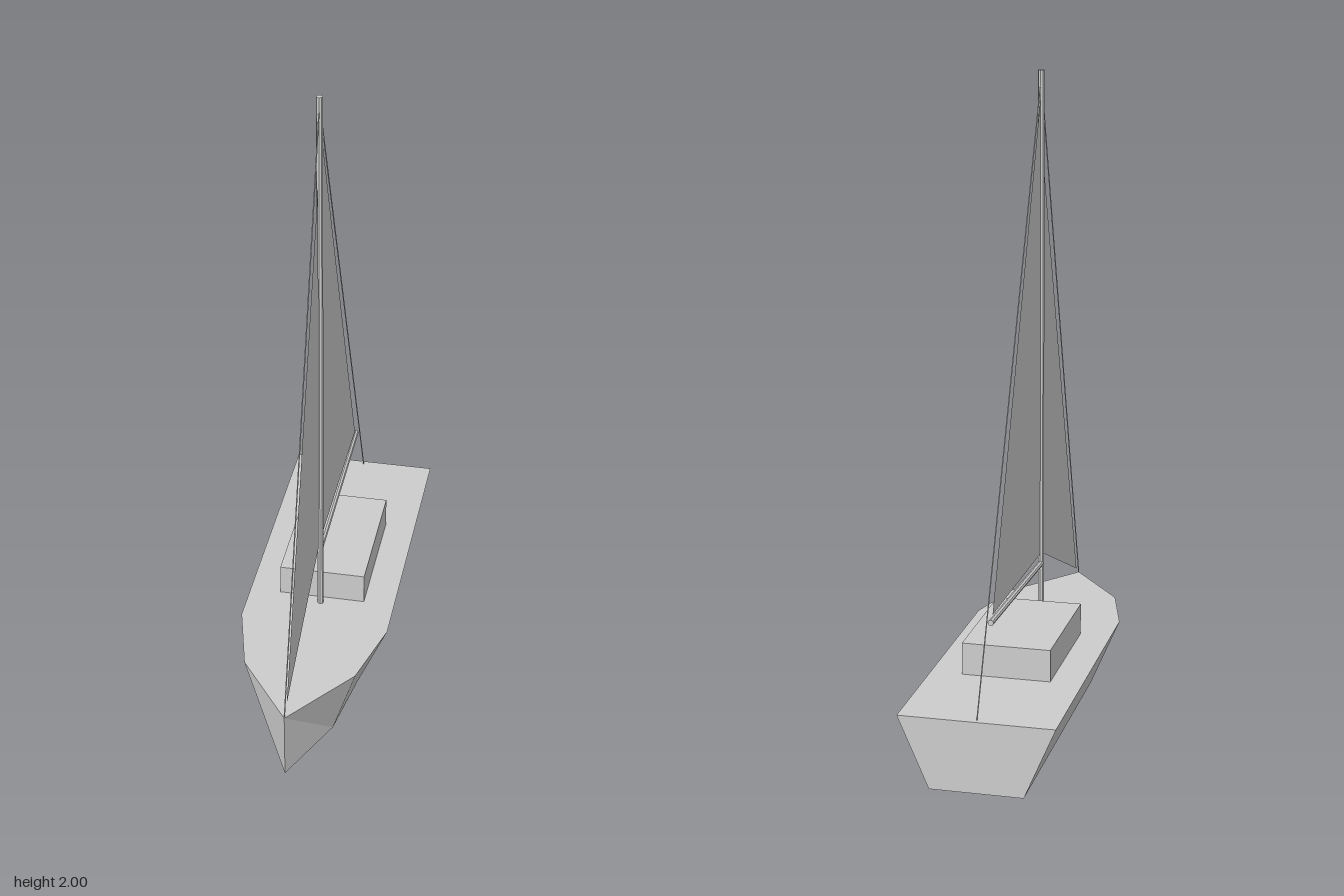
import * as THREE from 'three';

export function createModel() {
  const boat = new THREE.Group();
  boat.name = 'sailboat';
  const grey = new THREE.MeshStandardMaterial({ color: 0xcccccc, side: THREE.DoubleSide, flatShading: true });
  grey.name = 'light grey';

  const add = (name, geometry) => {
    const mesh = new THREE.Mesh(geometry, grey);
    mesh.name = name;
    boat.add(mesh);
    return mesh;
  };

  // Straight round bar between two points on the centre plane, given as [y, z]
  const bar = (name, a, b, radius, sides) => {
    const from = new THREE.Vector3(0, ...a), to = new THREE.Vector3(0, ...b);
    const dir = to.clone().sub(from);
    const mesh = add(name, new THREE.CylinderGeometry(radius, radius, dir.length(), sides));
    mesh.position.copy(from).add(to).multiplyScalar(0.5);
    mesh.quaternion.setFromUnitVectors(new THREE.Vector3(0, 1, 0), dir.normalize());
  };

  // Flat sail on the centre plane, corners given as [y, z]
  const sail = (name, corners) => {
    const geometry = new THREE.BufferGeometry();
    geometry.setAttribute('position', new THREE.Float32BufferAttribute(corners.flatMap(([y, z]) => [0, y, z]), 3));
    geometry.computeVertexNormals();
    add(name, geometry);
  };

  // Hull: extruded deck outline, narrowed in x towards the keel
  const deckY = 0.22, keelScale = 0.6;
  const outline = [[-0.236, 0.693], [0.236, 0.693], [0.236, -0.23], [0.175, -0.46],
    [0, -0.693], [-0.175, -0.46], [-0.236, -0.23]];
  const shape = new THREE.Shape(outline.map(([x, y]) => new THREE.Vector2(x, y)));
  const hull = new THREE.ExtrudeGeometry(shape, { depth: deckY, bevelEnabled: false });
  hull.rotateX(-Math.PI / 2);
  const p = hull.attributes.position;
  for (let i = 0; i < p.count; i++) {
    p.setX(i, p.getX(i) * THREE.MathUtils.lerp(keelScale, 1, p.getY(i) / deckY));
  }
  hull.computeVertexNormals();
  add('hull', hull);

  // Cabin
  add('cabin', new THREE.BoxGeometry(0.274, 0.1, 0.43)).position.set(0, 0.27, -0.122);

  // Spars and rigging
  bar('mast', [deckY, 0.12], [2, 0.12], 0.01, 8);
  bar('boom', [0.437, 0.12], [0.459, -0.517], 0.009, 8);
  bar('forestay', [1.98, 0.12], [deckY, 0.692], 0.002, 5);
  bar('backstay', [1.98, 0.12], [deckY, -0.677], 0.002, 5);

  // Sails
  sail('mainsail', [[0.47, 0.11], [0.476, -0.494], [1.92, 0.11]]);
  sail('jib', [[0.245, 0.654], [0.46, 0.152], [1.74, 0.142]]);

  return boat;
}
